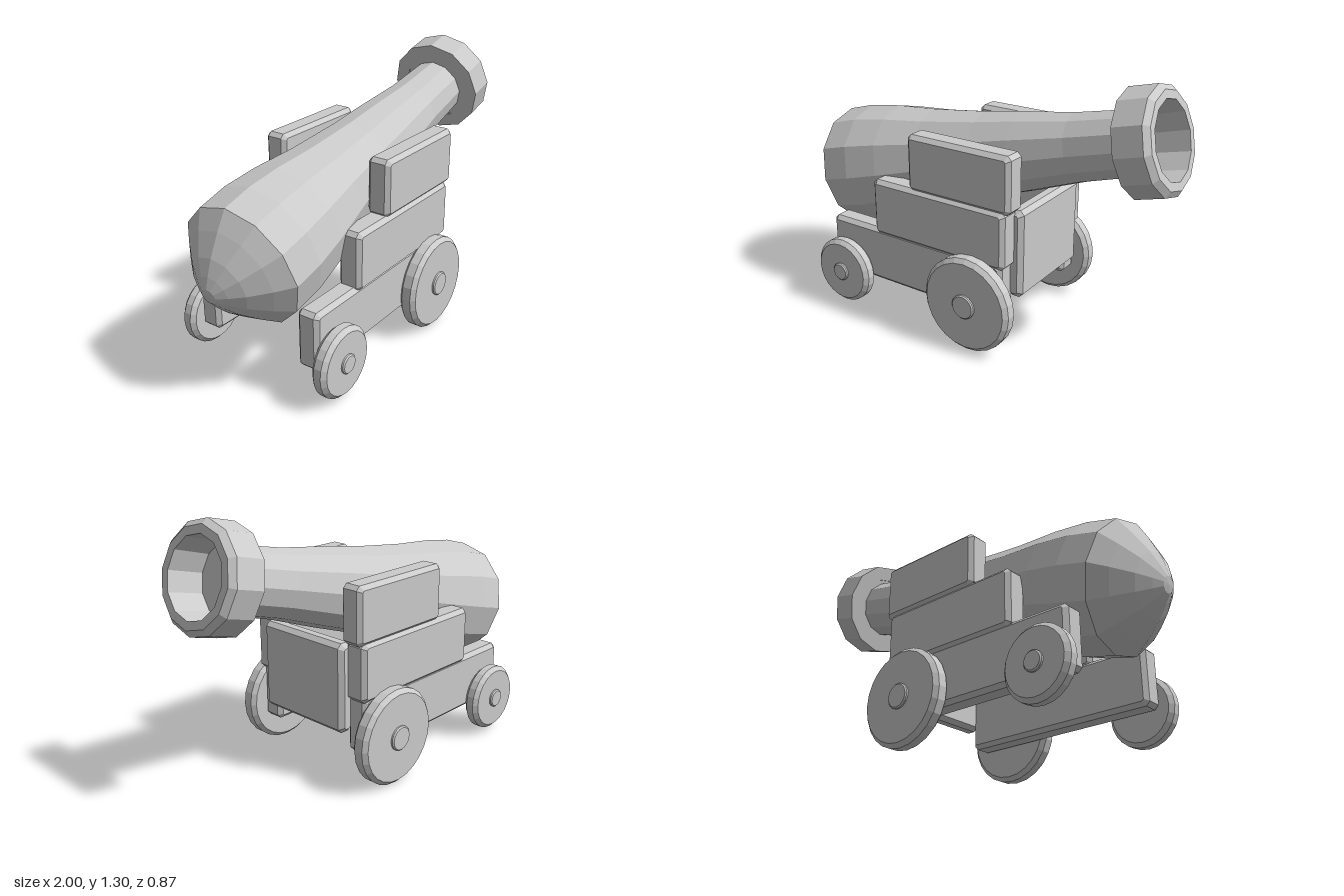
import * as THREE from 'three';

const material = new THREE.MeshStandardMaterial({ color: 0xcccccc, flatShading: true });

function part(name, geometry, parent) {
  const mesh = new THREE.Mesh(geometry, material);
  mesh.name = name;
  parent.add(mesh);
  return mesh;
}

// Turned solid from [radius, height] pairs, bottom to top
function turned(points, sides) {
  return new THREE.LatheGeometry(points.map(([r, h]) => new THREE.Vector2(r, h)), sides);
}

// Box with chamfered edges, w x h x d, centred on the origin
function chamferBox(w, h, d, c) {
  const a = w / 2 - c, b = h / 2 - c, k = 0.008;
  const shape = new THREE.Shape([
    [-a + k, -b], [a - k, -b], [a, -b + k], [a, b - k],
    [a - k, b], [-a + k, b], [-a, b - k], [-a, -b + k],
  ].map(([x, y]) => new THREE.Vector2(x, y)));
  const geometry = new THREE.ExtrudeGeometry(shape, {
    depth: d - 2 * c, bevelEnabled: true, bevelSegments: 1, bevelSize: c, bevelThickness: c,
  });
  return geometry.translate(0, 0, -d / 2 + c);
}

// Wheel with chamfered rim and a raised hub, axis along z, outer side towards +z
function wheelGeometry(r, hub, width) {
  const c = 0.02, w = width / 2;
  return turned([
    [0, -w], [r - c, -w], [r, -w + c], [r, w - c], [r - c, w],
    [hub, w], [hub, w + 0.008], [hub - 0.006, w + 0.014], [0, w + 0.014],
  ], 24).rotateX(Math.PI / 2);
}

export function createModel() {
  const model = new THREE.Group();
  model.name = 'cannon';

  // Barrel: domed breech, tapering tube, muzzle ring and blind bore
  const barrel = part('barrel', turned([
    [0, -0.212], [0.038, -0.208], [0.085, -0.182], [0.15, -0.14], [0.235, -0.068], [0.305, 0],
    [0.308, 0.157], [0.288, 0.339], [0.248, 0.567], [0.209, 0.867], [0.191, 1.07],
    [0.16, 1.35], [0.148, 1.63],
    [0.246, 1.63], [0.244, 1.768], [0.217, 1.792], [0.178, 1.792], [0.17, 1.62], [0, 1.62],
  ], 12), model);
  barrel.position.set(-0.785, 0.6175, 0.005);
  barrel.rotation.z = THREE.MathUtils.degToRad(14.8 - 90);

  // Front plate between the cheeks
  const plate = part('frontPlate', chamferBox(0.08, 0.435, 0.52, 0.022), model);
  plate.position.set(0.34, 0.4825, 0.005);

  // Stepped cheeks: [name, x0, x1, y0, y1, z0, z1]
  const blocks = [
    ['lowerBlock', -0.71, 0.32, 0.168, 0.452, 0.232, 0.345],
    ['middleBlock', -0.42, 0.34, 0.43, 0.715, 0.238, 0.357],
    ['upperBlock', -0.2, 0.368, 0.705, 0.982, 0.238, 0.355],
  ];
  // Wheels: [name, x, y, radius, hub radius, z0, z1]
  const wheels = [
    ['frontWheel', 0.17, 0.237, 0.235, 0.06, 0.337, 0.422],
    ['rearWheel', -0.6, 0.192, 0.168, 0.046, 0.345, 0.422],
  ];

  for (const side of [1, -1]) {
    const group = new THREE.Group();
    group.name = side > 0 ? 'frontSide' : 'backSide';
    for (const [name, x0, x1, y0, y1, z0, z1] of blocks) {
      part(name, chamferBox(x1 - x0, y1 - y0, z1 - z0, 0.02), group)
        .position.set((x0 + x1) / 2, (y0 + y1) / 2, side * (z0 + z1) / 2);
    }
    for (const [name, x, y, r, hub, z0, z1] of wheels) {
      const wheel = part(name, wheelGeometry(r, hub, z1 - z0), group);
      wheel.position.set(x, y, side * (z0 + z1) / 2);
      if (side < 0) wheel.rotation.y = Math.PI;
    }
    model.add(group);
  }
  return model;
}
